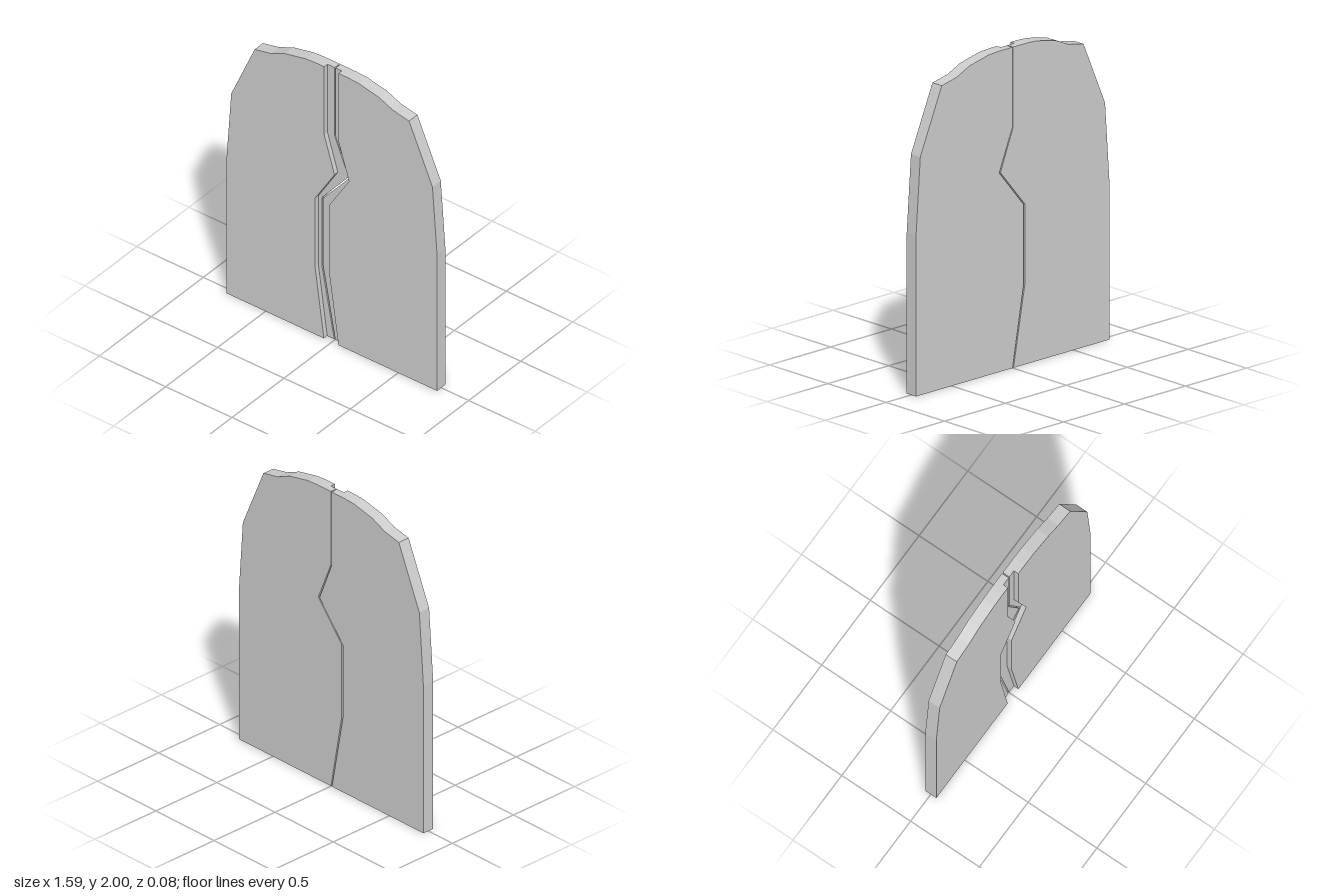
import * as THREE from 'three';

// Outer edge of one half, from the bottom corner up to the crown (mirrored for the other half)
const OUTLINE = [[0.793, 0], [0.793, 1], [0.758, 1.485], [0.582, 1.89], [0.46, 1.915], [0.355, 1.962], [0.2, 1.995], [0.12, 2]];

// Zigzag split between the halves and the two edges of the shallow channel, top to bottom
const HEIGHTS = [2, 1.5, 1.24, 1, 0.5, 0];
const SPLIT_LEFT = [0.003, 0.003, 0.11, -0.09, -0.09, 0.001];
const SPLIT_RIGHT = [-0.004, -0.004, 0.1, -0.1, -0.1, -0.007];
const CHANNEL_LEFT = [0.05, 0.05, 0.13, -0.02, -0.02, 0.05];
const CHANNEL_RIGHT = [-0.058, -0.058, 0.02, -0.127, -0.127, -0.06];

const BACK = -0.04, CHANNEL_FLOOR = 0.008, FRONT = 0.04;

export function createModel() {
  const model = new THREE.Group();
  model.name = 'splitDoor';
  const material = new THREE.MeshStandardMaterial({ color: 0xcccccc, flatShading: true });

  // Flat slab between the outer edge on one side and an inner zigzag edge
  const slab = (name, side, innerX, z0, z1) => {
    const points = [
      ...OUTLINE.map(([x, y]) => new THREE.Vector2(side * x, y)),
      ...innerX.map((x, i) => new THREE.Vector2(x, HEIGHTS[i])),
    ];
    const geometry = new THREE.ExtrudeGeometry(new THREE.Shape(points), { depth: z1 - z0, bevelEnabled: false });
    geometry.translate(0, 0, z0);
    const mesh = new THREE.Mesh(geometry, material);
    mesh.name = name;
    return mesh;
  };

  // Each half: a back panel reaching the split, and a front panel ending at the channel
  const half = (name, side, split, channel) => {
    const group = new THREE.Group();
    group.name = name;
    group.add(
      slab(name + 'BackPanel', side, split, BACK, CHANNEL_FLOOR),
      slab(name + 'FrontPanel', side, channel, CHANNEL_FLOOR, FRONT),
    );
    return group;
  };

  model.add(
    half('leftDoor', 1, SPLIT_LEFT, CHANNEL_LEFT),
    half('rightDoor', -1, SPLIT_RIGHT, CHANNEL_RIGHT),
  );
  return model;
}
